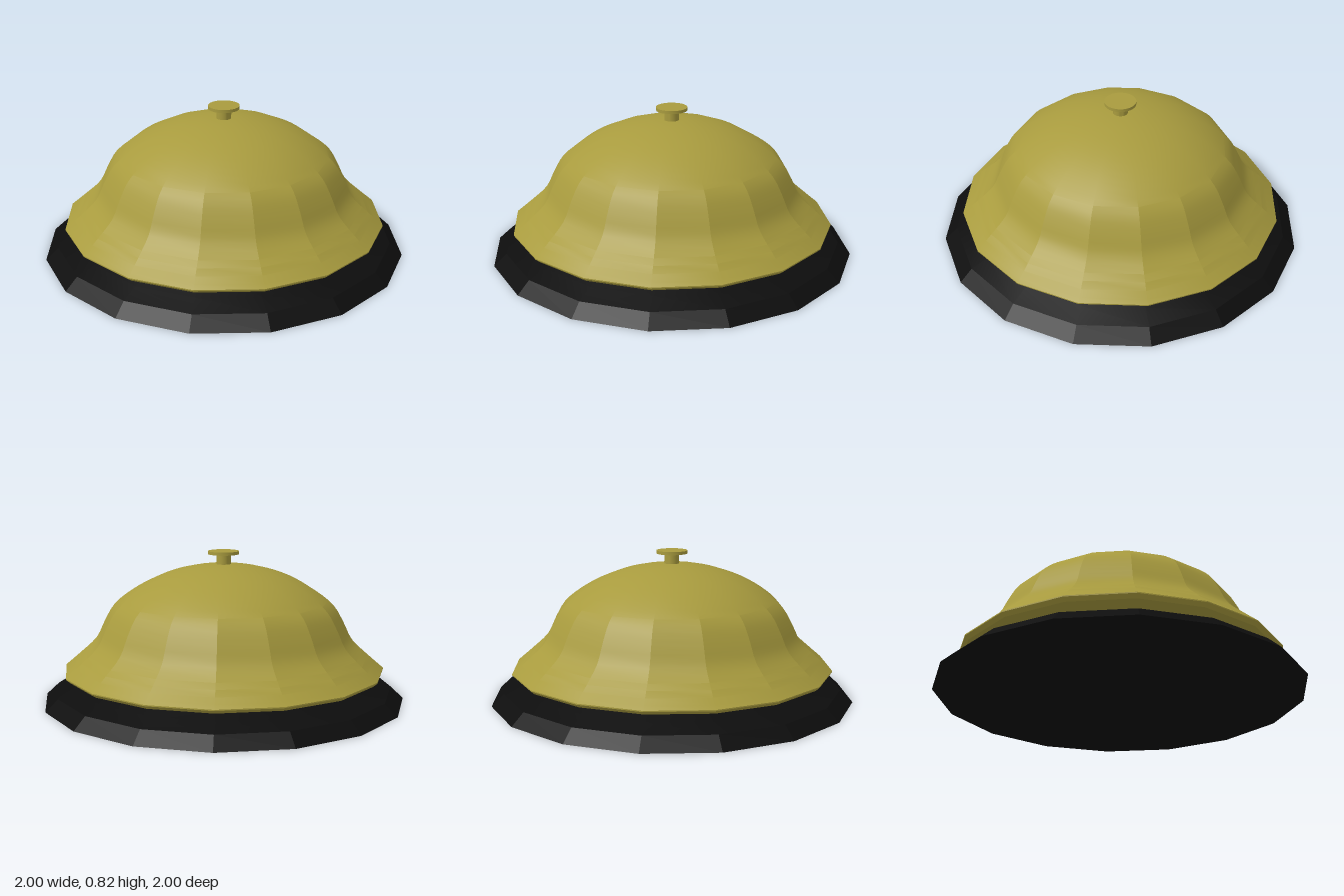
import * as THREE from 'three';
import { toCreasedNormals } from 'three/addons/utils/BufferGeometryUtils.js';

const brass = new THREE.MeshStandardMaterial({ color: 0xa89b3e });
const black = new THREE.MeshStandardMaterial({ color: 0x0d0d0d });
const toPoints = (pairs) => pairs.map(([r, y]) => new THREE.Vector2(r, y));

// Turned part from a bottom-to-top profile of [radius, height]
function turned(name, points, sides, crease, material) {
  const geometry = toCreasedNormals(new THREE.LatheGeometry(points, sides), crease);
  const mesh = new THREE.Mesh(geometry, material);
  mesh.name = name;
  return mesh;
}

export function createModel() {
  const model = new THREE.Group();
  model.name = 'deskBell';

  // Sixteen-sided foot, closed underneath
  const foot = toPoints([[0, 0], [1, 0], [0.93, 0.065], [0.83, 0.1], [0.7, 0.15], [0, 0.15]]);
  model.add(turned('base', foot, 16, 0.26, black));

  // Flared dome: S-shaped curve from the rim to the crown
  const curve = new THREE.SplineCurve(toPoints([
    [0.885, 0.172], [0.8, 0.245], [0.71, 0.33], [0.662, 0.425], [0.605, 0.52],
    [0.51, 0.598], [0.39, 0.665], [0.26, 0.712], [0.12, 0.74], [0, 0.747],
  ]));
  const dome = curve.getPoints(27);
  dome[dome.length - 1].x = 0;
  const rim = toPoints([[0, 0.148], [0.865, 0.148], [0.885, 0.166]]);
  model.add(turned('bell', [...rim, ...dome], 16, 0.26, brass));

  // Push button: thin stem with a flat round cap
  const button = toPoints([
    [0, 0.73], [0.04, 0.73], [0.04, 0.8], [0.085, 0.8], [0.085, 0.817], [0, 0.817],
  ]);
  model.add(turned('button', button, 32, 0.6, brass));

  return model;
}
